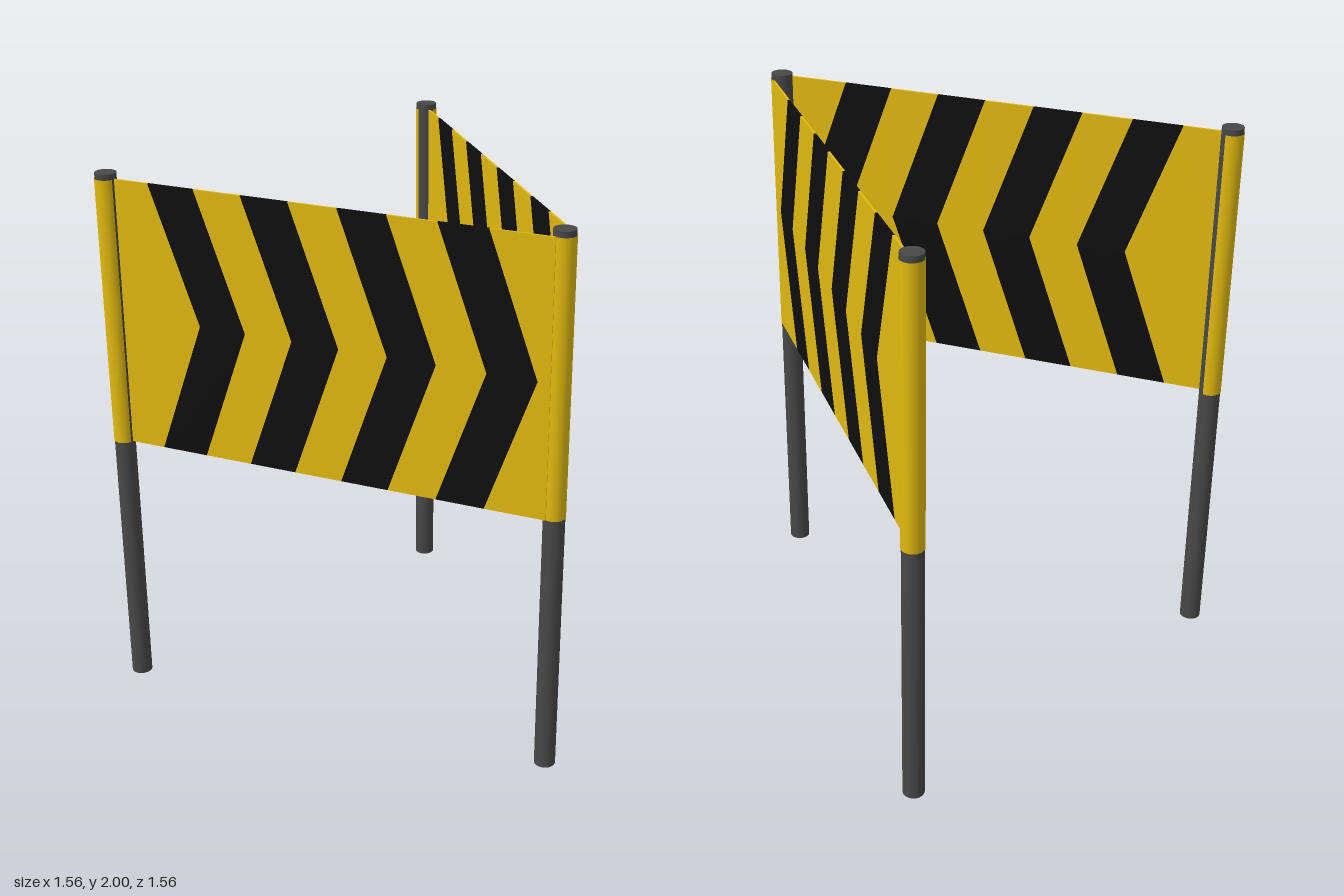
import * as THREE from 'three';

const POST_R = 0.038, SPREAD = 0.74, BOTTOM = 0.99, TOP = 1.98;
const THICK = 0.008;

export function createModel() {
  const group = new THREE.Group();
  const dark = new THREE.MeshStandardMaterial({ color: 0x484848 });
  const yellow = new THREE.MeshStandardMaterial({ color: 0xe0b80f, side: THREE.DoubleSide });
  const black = new THREE.MeshStandardMaterial({ color: 0x0e0e0e });

  function add(parent, name, geometry, material, x = 0, y = 0, z = 0) {
    const mesh = new THREE.Mesh(geometry, material);
    mesh.name = name;
    mesh.position.set(x, y, z);
    parent.add(mesh);
  }

  // A post with a sheet wrapped around part of its upper half
  function addPost(name, x, z, start, sweep) {
    add(group, name + 'Post', new THREE.CylinderGeometry(POST_R, POST_R, 2, 32), dark, x, 1, z);
    const sleeve = new THREE.CylinderGeometry(POST_R + 0.002, POST_R + 0.002, TOP - BOTTOM, 32, 1, true, start, sweep);
    add(group, name + 'Sleeve', sleeve, yellow, x, (TOP + BOTTOM) / 2, z);
  }
  addPost('front', 0, SPREAD, -Math.PI / 2, Math.PI);
  addPost('backLeft', SPREAD, -SPREAD, 0, Math.PI * 1.5);
  addPost('backRight', -SPREAD, -SPREAD, Math.PI / 2, Math.PI * 1.5);

  // Panel: alternating bands between bent boundaries, [edge position, tip position]
  const run = 0.704, depth = 2 * SPREAD, length = Math.hypot(run, depth);
  const unit = length / depth;
  const edges = [[0, 0]];
  for (let i = 0; i < 4; i++) {
    const tip = 0.04 + i * 0.322;
    edges.push([tip + 0.16, tip], [tip + 0.32, tip + 0.16]);
  }
  edges.push([depth, depth]);
  const middle = (TOP + BOTTOM) / 2;

  function addPanel(name, side) {
    const panel = new THREE.Group();
    panel.name = name;
    for (let i = 0; i < edges.length - 1; i++) {
      const [e0, t0] = edges[i].map(v => v * unit);
      const [e1, t1] = edges[i + 1].map(v => v * unit);
      const shape = new THREE.Shape([
        [e0, BOTTOM], [e1, BOTTOM], [t1, middle], [e1, TOP], [e0, TOP], [t0, middle],
      ].map(p => new THREE.Vector2(...p)));
      const band = new THREE.ExtrudeGeometry(shape, { depth: THICK, bevelEnabled: false });
      band.translate(0, 0, -THICK / 2);
      add(panel, i % 2 ? 'chevron' : 'background', band, i % 2 ? black : yellow);
    }
    panel.position.set(side * 0.039, 0, SPREAD);
    panel.rotation.y = Math.atan2(depth, side * run);
    group.add(panel);
  }
  addPanel('leftPanel', 1);
  addPanel('rightPanel', -1);

  return group;
}
